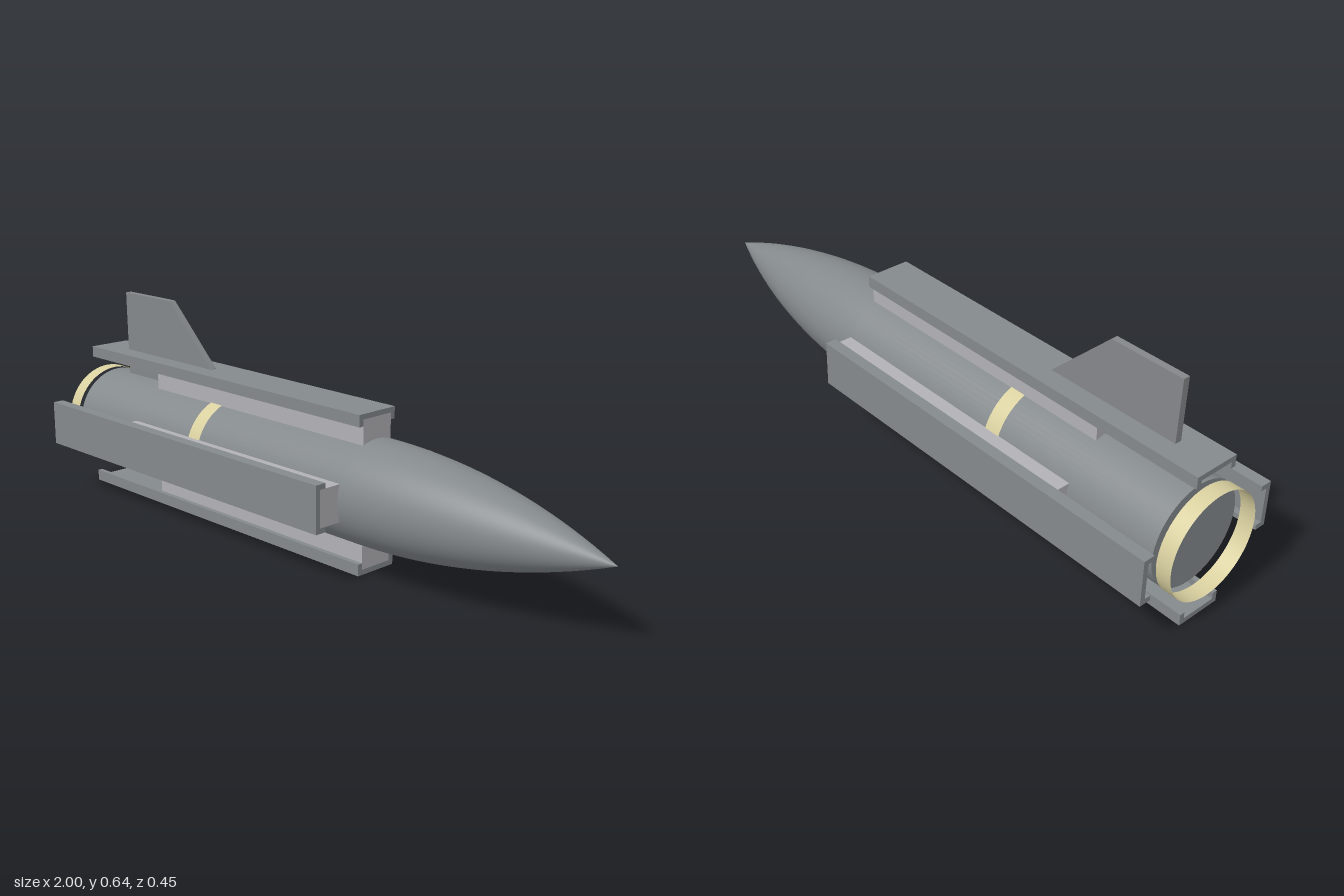
import * as THREE from 'three';

const AXIS_Y = 0.227, R = 0.15;

function material(name, color, side = THREE.FrontSide) {
  const m = new THREE.MeshStandardMaterial({ color, side });
  m.name = name;
  return m;
}

export function createModel() {
  const hullGrey = material('hull grey', 0x84898c);
  const finGrey = material('fin grey', 0x84878a);
  const lightGrey = material('pylon light grey', 0xb2b2b6);
  const cream = material('band cream', 0xd8cf9f, THREE.DoubleSide);

  const model = new THREE.Group();
  model.name = 'missile';
  const add = (parent, name, geometry, mat, x = 0, y = 0, z = 0) => {
    const mesh = new THREE.Mesh(geometry, mat);
    mesh.name = name;
    mesh.position.set(x, y, z);
    parent.add(mesh);
    return mesh;
  };

  // Body: straight tube running into an ogive nose
  const noseStart = 0.23, noseLength = 1 - noseStart;
  const rho = (R * R + noseLength * noseLength) / (2 * R);
  const profile = [new THREE.Vector2(R, -0.94)];
  for (let i = 0; i <= 20; i++) {
    const d = noseLength * i / 20;
    const r = Math.sqrt(rho * rho - d * d) - rho + R;
    profile.push(new THREE.Vector2(Math.max(r, 0), noseStart + d));
  }
  add(model, 'body', new THREE.LatheGeometry(profile, 64).rotateZ(-Math.PI / 2), hullGrey, 0, AXIS_Y);
  add(model, 'tailCap', new THREE.CircleGeometry(R, 64).rotateY(-Math.PI / 2), hullGrey, -0.94, AXIS_Y);

  // Thin open bands: one around the body, one floating behind the tail
  for (const [name, x0, x1] of [['bodyBand', -0.4, -0.35], ['tailBand', -1, -0.955]]) {
    const band = new THREE.CylinderGeometry(0.152, 0.152, x1 - x0, 64, 1, true).rotateZ(Math.PI / 2);
    add(model, name, band, cream, (x0 + x1) / 2, AXIS_Y);
  }

  // Four rails on pylons, around the body axis; rails are channels over the pylons
  const channel = new THREE.Shape([
    [-0.068, 0.193], [-0.053, 0.193], [-0.053, 0.212], [0.053, 0.212],
    [0.053, 0.193], [0.068, 0.193], [0.068, 0.227], [-0.068, 0.227],
  ].map(([x, y]) => new THREE.Vector2(x, y)));
  const railGeometry = new THREE.ExtrudeGeometry(channel, { depth: 1.21, bevelEnabled: false })
    .rotateY(Math.PI / 2).translate(-0.98, 0, 0);
  const pylonGeometry = new THREE.BoxGeometry(0.885, 0.092, 0.106).translate(-0.2125, 0.166, 0);
  for (let i = 0; i < 4; i++) {
    const unit = new THREE.Group();
    unit.name = 'railUnit' + (i + 1);
    unit.position.y = AXIS_Y;
    unit.rotation.x = i * Math.PI / 2;
    add(unit, 'rail', railGeometry, hullGrey);
    add(unit, 'pylon', pylonGeometry, lightGrey);
    model.add(unit);
  }

  // Upright tail fin passing through the top rail
  const finShape = new THREE.Shape([
    [-0.86, 0.37], [-0.45, 0.37], [-0.45, 0.455], [-0.64, 0.638], [-0.865, 0.638],
  ].map(([x, y]) => new THREE.Vector2(x, y)));
  add(model, 'tailFin', new THREE.ExtrudeGeometry(finShape, { depth: 0.02, bevelEnabled: false }), finGrey, 0, 0, -0.01);

  return model;
}
